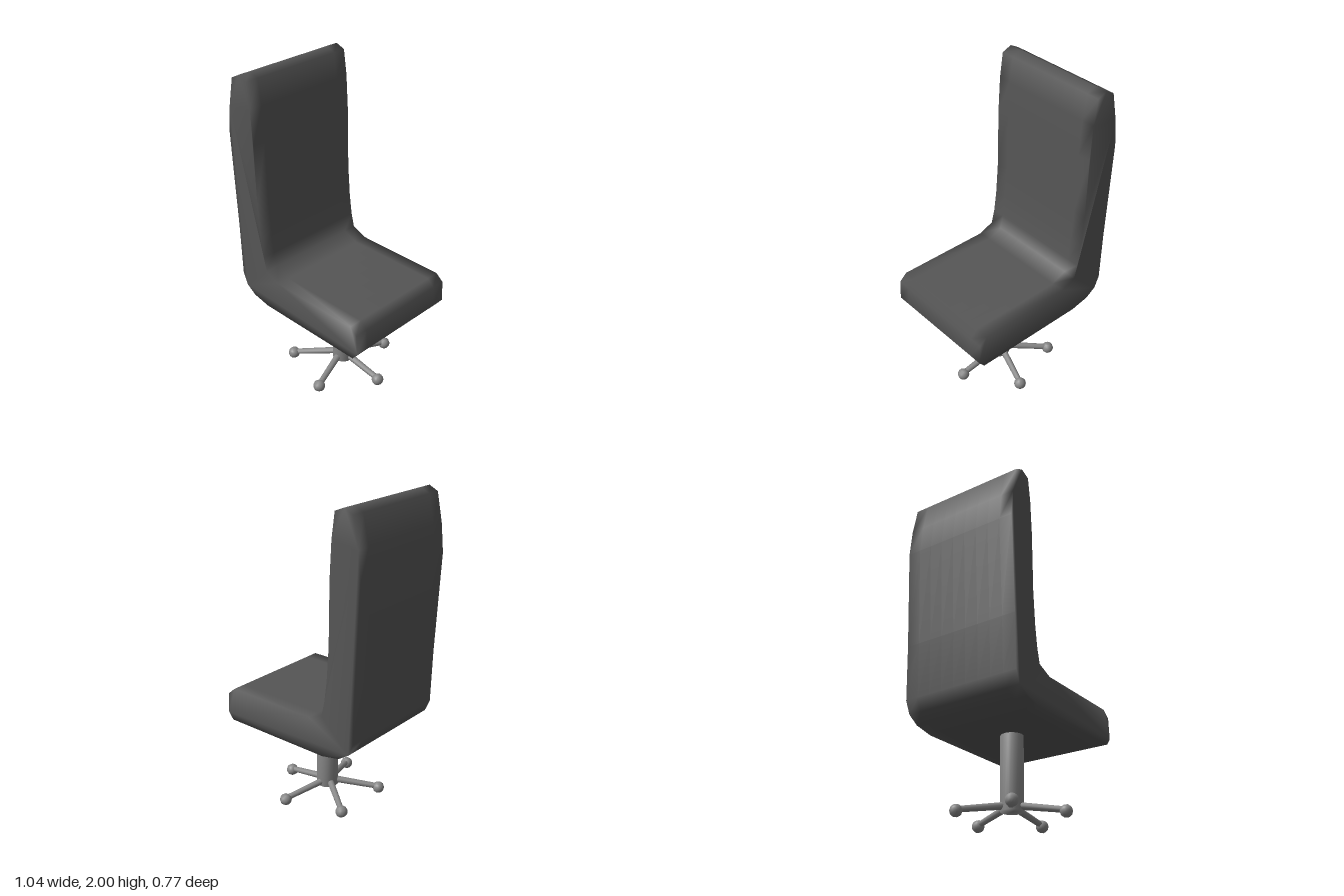
import * as THREE from 'three';
import { mergeVertices } from 'three/addons/utils/BufferGeometryUtils.js';

const DEPTH = 0.77;

// Weld all corners so the shading runs softly over the edges
function soften(geometry) {
  geometry.deleteAttribute('uv');
  geometry.deleteAttribute('normal');
  const welded = mergeVertices(geometry, 1e-4);
  welded.computeVertexNormals();
  return welded;
}

export function createModel() {
  const group = new THREE.Group();
  const leather = new THREE.MeshStandardMaterial({ color: 0x555555 });
  const metal = new THREE.MeshStandardMaterial({ color: 0x888888 });

  const add = (name, geometry, material, parent = group) => {
    const mesh = new THREE.Mesh(geometry, material);
    mesh.name = name;
    parent.add(mesh);
    return mesh;
  };

  // Seat and backrest: one L-shaped side profile, extruded across the width
  const profile = [
    [-0.41, 2.0], [-0.468, 1.97], [-0.505, 1.79], [-0.522, 1.62], [-0.49, 1.0],
    [-0.48, 0.66], [-0.447, 0.585], [-0.378, 0.54], [-0.256, 0.515],
    [0.484, 0.515], [0.52, 0.56], [0.512, 0.69], [0.463, 0.733],
    [-0.15, 0.733], [-0.25, 0.775], [-0.272, 0.865], [-0.29, 1.0],
    [-0.305, 1.21], [-0.312, 1.6], [-0.325, 1.82], [-0.347, 1.975],
  ].map(([x, y]) => new THREE.Vector2(x, y));
  const cushion = new THREE.ExtrudeGeometry(new THREE.Shape(profile), {
    depth: DEPTH, steps: 9, bevelEnabled: false,
  });
  cushion.translate(0, 0, -DEPTH / 2);
  add('seatAndBackrest', soften(cushion), leather);

  // Column
  const column = add('column', soften(new THREE.CylinderGeometry(0.069, 0.069, 0.47, 20)), metal);
  column.position.set(0.03, 0.295, 0);

  // Five sloping legs, each with a ball caster
  const base = new THREE.Group();
  base.name = 'base';
  base.position.x = 0.018;
  group.add(base);
  const inner = new THREE.Vector3(0.02, 0.093, 0);
  const outer = new THREE.Vector3(0.322, 0.045, 0);
  const direction = outer.clone().sub(inner);
  for (let i = 0; i < 5; i++) {
    const spoke = new THREE.Group();
    spoke.name = 'spoke' + (i + 1);
    spoke.rotation.y = (i * Math.PI * 2) / 5;
    base.add(spoke);
    const leg = add('leg', new THREE.CylinderGeometry(0.018, 0.022, direction.length(), 10), metal, spoke);
    leg.position.copy(inner).add(outer).multiplyScalar(0.5);
    leg.quaternion.setFromUnitVectors(new THREE.Vector3(0, 1, 0), direction.clone().normalize());
    const caster = add('caster', new THREE.SphereGeometry(0.038, 10, 8), metal, spoke);
    caster.position.set(0.322, 0.038, 0);
    caster.rotation.x = Math.PI / 2;
  }
  return group;
}
